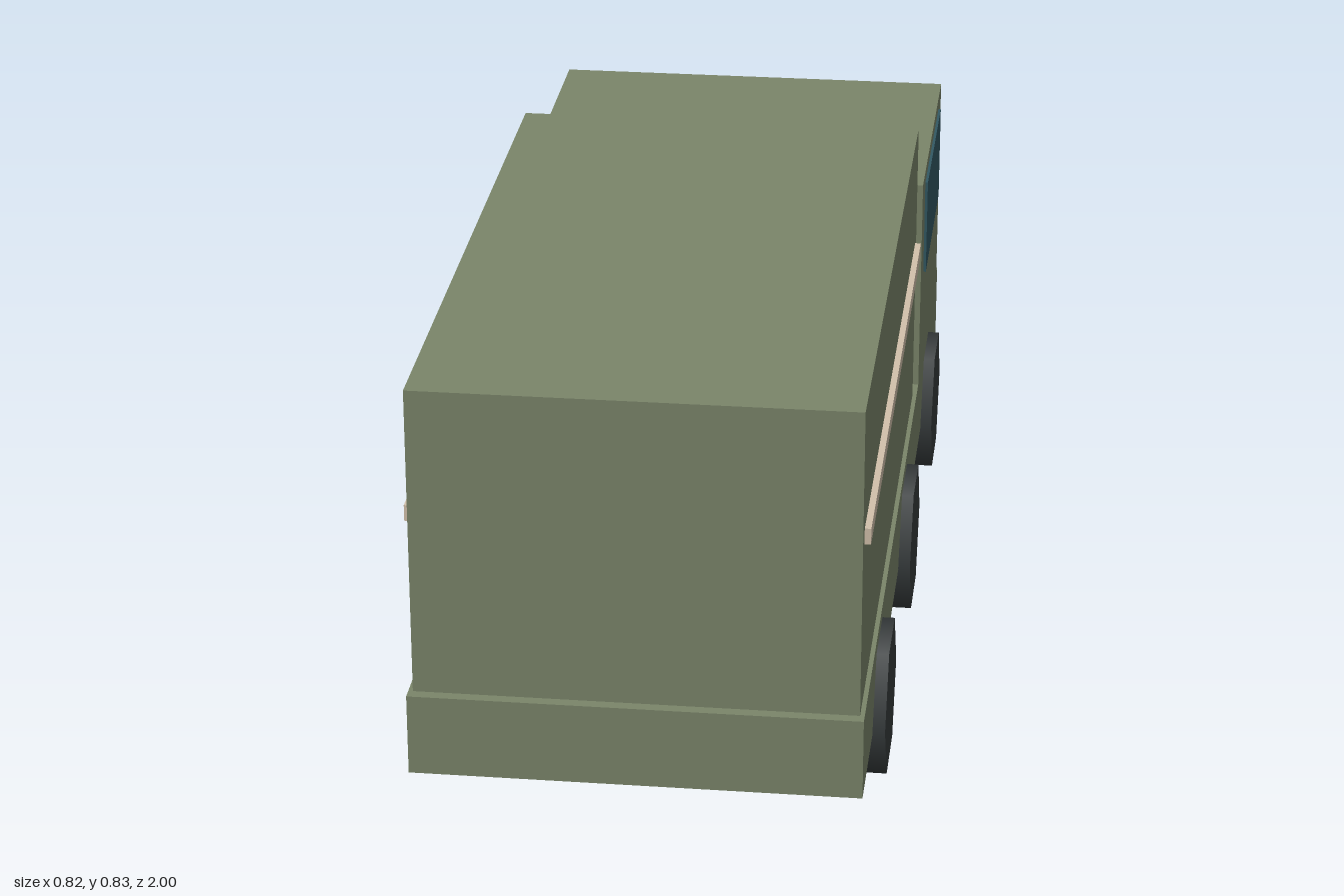
import * as THREE from 'three';

export function createModel() {
  const truck = new THREE.Group();
  truck.name = 'truck';

  const material = (name, color) => {
    const m = new THREE.MeshStandardMaterial({ color });
    m.name = name;
    return m;
  };
  const olive = material('olive paint', 0x7b866a);
  const glass = material('blue glass', 0x325863);
  const cream = material('cream trim', 0xd2c1ab);
  const rubber = material('dark rubber', 0x363b3c);

  // Box given by its lower and upper limits on each axis
  const addBox = (name, mat, [x0, x1], [y0, y1], [z0, z1]) => {
    const mesh = new THREE.Mesh(new THREE.BoxGeometry(x1 - x0, y1 - y0, z1 - z0), mat);
    mesh.position.set((x0 + x1) / 2, (y0 + y1) / 2, (z0 + z1) / 2);
    mesh.name = name;
    truck.add(mesh);
  };

  // Body: the cab sits at the -z end
  addBox('chassis', olive, [-0.39, 0.39], [0.115, 0.263], [-1, 1]);
  addBox('cargoBox', olive, [-0.382, 0.382], [0.263, 0.825], [-0.337, 0.98]);
  addBox('cab', olive, [-0.39, 0.39], [0.263, 0.688], [-0.97, -0.39]);

  // Raised windscreen pane
  addBox('windscreen', glass, [-0.333, 0.333], [0.473, 0.663], [-0.984, -0.97]);

  // Six-sided wheel with a corner pointing along z
  const wheelGeometry = new THREE.CylinderGeometry(0.138, 0.138, 0.06, 6).rotateZ(Math.PI / 2);

  for (const [label, side] of [['left', 1], ['right', -1]]) {
    const span = (a, b) => (side > 0 ? [a, b] : [-b, -a]);
    addBox(`${label}CabWindow`, glass, span(0.387, 0.395), [0.473, 0.663], [-0.887, -0.47]);
    addBox(`${label}CargoStripe`, cream, span(0.382, 0.393), [0.571, 0.6], [-0.307, 0.95]);

    [['Rear', 0.64], ['Middle', 0], ['Front', -0.64]].forEach(([axle, z]) => {
      const wheel = new THREE.Mesh(wheelGeometry, rubber);
      wheel.position.set(side * 0.382, 0.1195, z);
      wheel.name = `${label}${axle}Wheel`;
      truck.add(wheel);
    });
  }

  return truck;
}
